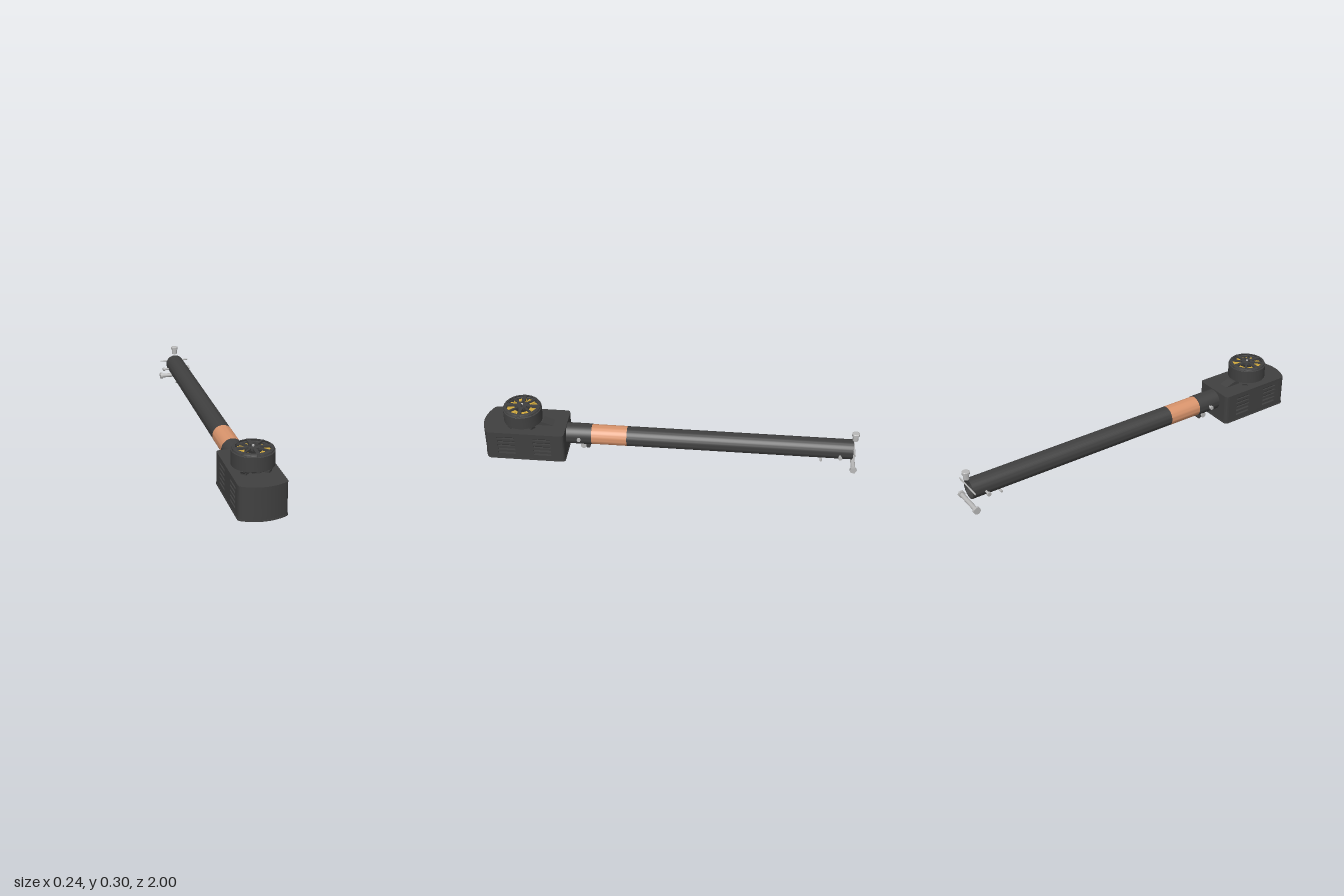
import * as THREE from 'three';
import { toCreasedNormals } from 'three/addons/utils/BufferGeometryUtils.js';

const mat = (name, color, side = THREE.FrontSide) => {
  const m = new THREE.MeshStandardMaterial({ color, side });
  m.name = name;
  return m;
};

export function createModel() {
  const model = new THREE.Group();
  model.name = 'rotorArm';
  const dark = mat('charcoal', 0x404040);
  const black = mat('black', 0x2b2b2b);
  const copper = mat('copper', 0xd9946c);
  const gold = mat('gold', 0xd0a83c);
  const steel = mat('steel', 0xb8b8b8);

  const add = (name, geo, material, x = 0, y = 0, z = 0, parent = model) => {
    const m = new THREE.Mesh(geo, material);
    m.name = name;
    m.position.set(x, y, z);
    parent.add(m);
    return m;
  };
  const box = (name, w, h, d, material, x, y, z, parent) =>
    add(name, new THREE.BoxGeometry(w, h, d), material, x, y, z, parent);
  const cyl = (name, r, h, material, x, y, z, axis = 'y', sides = 24, parent = model) => {
    const g = new THREE.CylinderGeometry(r, r, h, sides);
    if (axis === 'x') g.rotateZ(Math.PI / 2);
    if (axis === 'z') g.rotateX(Math.PI / 2);
    return add(name, g, material, x, y, z, parent);
  };
  // Plan outline (x, z) raised from y0 to y1
  const slab = (name, shape, y0, y1, material) => {
    const g = new THREE.ExtrudeGeometry(shape, { depth: y1 - y0, bevelEnabled: false, curveSegments: 16 });
    g.rotateX(Math.PI / 2);
    return add(name, toCreasedNormals(g, 0.5), material, 0, y1, 0);
  };
  // Hollow turned part around y, profile of [radius, y]
  const lathe = (pts, n = 48) => {
    const p = pts.map(([r, y]) => new THREE.Vector2(r, y));
    return toCreasedNormals(new THREE.LatheGeometry(p, n), 0.6);
  };

  // Housing outline: bowed nose, rounded corners; z0..z1 selects a section
  const outline = (z0, nose, w = 0.117) => {
    const s = new THREE.Shape();
    const r = 0.022;
    s.moveTo(-w + r, z0);
    s.lineTo(w - r, z0);
    s.quadraticCurveTo(w, z0, w, z0 + r);
    s.lineTo(w, nose - 0.05);
    s.quadraticCurveTo(w, nose - 0.034, w - 0.018, nose - 0.025);
    s.quadraticCurveTo(0, nose + 0.025, -w + 0.018, nose - 0.025);
    s.quadraticCurveTo(-w, nose - 0.034, -w, nose - 0.05);
    s.lineTo(-w, z0 + r);
    s.quadraticCurveTo(-w, z0, -w + r, z0);
    return s;
  };
  slab('housingRoof', outline(0.55, 0.998), 0.164, 0.178, dark);
  slab('housingFloor', outline(0.55, 0.998), 0.016, 0.03, dark);
  slab('housingBaseRim', outline(0.548, 1.0, 0.119), 0.009, 0.016, dark);

  const nose = new THREE.Shape();
  nose.moveTo(-0.117, 0.925);
  nose.lineTo(0.117, 0.925);
  nose.lineTo(0.117, 0.948);
  nose.quadraticCurveTo(0.117, 0.964, 0.099, 0.973);
  nose.quadraticCurveTo(0, 1.023, -0.099, 0.973);
  nose.quadraticCurveTo(-0.117, 0.964, -0.117, 0.948);
  slab('housingNose', nose, 0.03, 0.164, dark);

  const rear = new THREE.Shape();
  rear.moveTo(-0.095, 0.55);
  rear.lineTo(0.095, 0.55);
  rear.quadraticCurveTo(0.117, 0.55, 0.117, 0.572);
  rear.lineTo(0.117, 0.6);
  rear.lineTo(-0.117, 0.6);
  rear.lineTo(-0.117, 0.572);
  rear.quadraticCurveTo(-0.117, 0.55, -0.095, 0.55);
  slab('housingRear', rear, 0.03, 0.164, dark);

  // Side walls with two banks of vent slots
  const wall = new THREE.Shape();
  wall.moveTo(0.6, 0.03);
  wall.lineTo(0.925, 0.03);
  wall.lineTo(0.925, 0.164);
  wall.lineTo(0.6, 0.164);
  for (const z of [0.67, 0.863]) {
    for (let i = 0; i < 5; i++) {
      const y = 0.048 + i * 0.0245, a = 0.047, h = 0.0055;
      const slot = new THREE.Path();
      slot.moveTo(z - a, y - h);
      slot.lineTo(z - a, y + h);
      slot.lineTo(z + a, y + h);
      slot.lineTo(z + a, y - h);
      wall.holes.push(slot);
    }
  }
  const wallGeo = new THREE.ExtrudeGeometry(wall, { depth: 0.01, bevelEnabled: false });
  wallGeo.rotateY(-Math.PI / 2);
  for (const x of [0.117, -0.107]) add('ventWall', wallGeo, dark, x, 0, 0);
  box('innerElectronics', 0.15, 0.075, 0.32, black, 0, 0.0975, 0.765);

  // Underside feet and hatch details
  for (const x of [-0.098, 0.098]) {
    for (const z of [0.58, 0.945]) cyl('foot', 0.01, 0.01, steel, x, 0.005, z, 'y', 16);
  }
  box('bottomHatch', 0.15, 0.004, 0.17, black, 0, 0.008, 0.83);
  box('bottomHatchInset', 0.12, 0.004, 0.14, dark, 0, 0.0065, 0.83);
  box('hatchLatch', 0.07, 0.004, 0.02, black, 0, 0.005, 0.8);
  for (let i = 0; i < 4; i++) box('bottomVent', 0.1, 0.004, 0.01, black, 0, 0.008, 0.61 + i * 0.03);

  // Cable fairing behind the motor
  const fairing = new THREE.Shape();
  fairing.moveTo(0.62, 0.178);
  fairing.lineTo(0.71, 0.178);
  fairing.lineTo(0.71, 0.2);
  fairing.lineTo(0.675, 0.198);
  const fairingGeo = new THREE.ExtrudeGeometry(fairing, { depth: 0.056, bevelEnabled: false });
  fairingGeo.rotateY(-Math.PI / 2);
  add('cableFairing', fairingGeo, dark, 0.028, 0, 0);

  // Motor
  const motor = new THREE.Group();
  motor.name = 'motor';
  motor.position.set(0, 0, 0.785);
  model.add(motor);
  cyl('motorBase', 0.06, 0.017, dark, 0, 0.1865, 0, 'y', 32, motor);
  for (let i = 0; i < 4; i++) {
    const leg = new THREE.Group();
    leg.name = 'motorLeg';
    leg.rotation.y = Math.PI / 4 + i * Math.PI / 2;
    motor.add(leg);
    box('legFoot', 0.035, 0.01, 0.03, dark, 0.075, 0.183, 0, leg);
    box('legRiser', 0.022, 0.016, 0.022, dark, 0.085, 0.193, 0, leg).rotation.z = -0.5;
  }
  box('motorFrontTab', 0.044, 0.014, 0.02, dark, 0, 0.189, 0.065, motor);
  add('motorBell', lathe([
    [0.088, 0.2], [0.098, 0.197], [0.103, 0.2], [0.103, 0.271], [0.1, 0.273], [0.091, 0.273], [0.088, 0.271], [0.088, 0.2],
  ]), dark, 0, 0, 0, motor);
  add('motorCapRing', lathe([
    [0.086, 0.278], [0.099, 0.276], [0.097, 0.282], [0.089, 0.286], [0.083, 0.286], [0.086, 0.278],
  ]), dark, 0, 0, 0, motor);
  cyl('statorPlate', 0.089, 0.006, black, 0, 0.203, 0, 'y', 32, motor);
  cyl('statorCore', 0.042, 0.06, black, 0, 0.236, 0, 'y', 24, motor);
  for (let i = 0; i < 18; i++) {
    const a = (i / 18) * Math.PI * 2;
    const coil = box('coil', 0.042, 0.058, 0.016, gold, Math.cos(a) * 0.061, 0.238, -Math.sin(a) * 0.061, motor);
    coil.rotation.y = a;
  }
  for (let i = 0; i < 8; i++) {
    const a = (i / 8) * Math.PI * 2;
    const spoke = new THREE.Group();
    spoke.name = 'capSpoke';
    spoke.rotation.y = a;
    motor.add(spoke);
    const w = i % 2 ? 0.01 : 0.018;
    box('spokeBar', 0.075, 0.009, w, dark, 0.055, 0.281, 0, spoke);
    box('spokePost', 0.009, 0.012, w, dark, 0.0935, 0.275, 0, spoke);
  }
  cyl('capHub', 0.03, 0.014, dark, 0, 0.28, 0, 'y', 32, motor);
  cyl('shaft', 0.006, 0.01, steel, 0, 0.288, 0, 'y', 16, motor);
  for (const x of [-0.016, 0.016]) cyl('propellerPin', 0.005, 0.014, dark, x, 0.293, 0, 'y', 16, motor);

  // Arm tube, open at the far end
  const ty = 0.118;
  const pipe = (name, r, ri, z0, z1, material) => {
    const g = lathe([[ri, z0], [r, z0], [r, z1], [ri, z1], [ri, z0]]);
    g.rotateX(Math.PI / 2);
    add(name, g, material, 0, ty, 0);
  };
  pipe('armTube', 0.053, 0.048, -0.972, 0.225, dark);
  pipe('copperSleeve', 0.0535, 0.045, 0.225, 0.415, copper);
  pipe('collar', 0.056, 0.045, 0.415, 0.552, dark);

  // Cross bolt: shank along x with a head and a nut
  const crossBolt = (name, x0, x1, y, z, r, headR, headL) => {
    const g = new THREE.Group();
    g.name = name;
    model.add(g);
    cyl('shank', r, x1 - x0, steel, (x0 + x1) / 2, y, z, 'x', 16, g);
    cyl('head', headR, headL, steel, x0 + headL / 2, y, z, 'x', 20, g);
    cyl('nut', headR, headL, steel, x1 - headL / 2, y, z, 'x', 6, g);
  };
  crossBolt('collarBolt', -0.078, 0.064, ty, 0.48, 0.006, 0.011, 0.01);
  crossBolt('tubeBolt', -0.088, 0.076, 0.108, -0.905, 0.006, 0.011, 0.012);
  crossBolt('endBolt', -0.092, 0.086, 0.042, -0.979, 0.012, 0.019, 0.014);
  cyl('endRod', 0.004, 0.17, steel, -0.003, 0.138, -0.978, 'x', 12);

  // Clamp screws and stop pin under the tube
  cyl('clampScrew', 0.015, 0.055, steel, 0, 0.054, 0.462, 'x', 20);
  cyl('clampNut', 0.013, 0.045, dark, 0, 0.052, 0.438, 'x', 20);
  cyl('stopPin', 0.006, 0.06, steel, 0, 0.053, -0.81, 'x', 16);

  // Thumb screw above the tube end
  add('thumbScrew', lathe([
    [0, 0.18], [0.015, 0.18], [0.015, 0.207], [0.02, 0.21], [0.02, 0.222], [0.017, 0.225], [0, 0.225],
  ], 24), steel, 0, 0, -0.979);

  return model;
}
